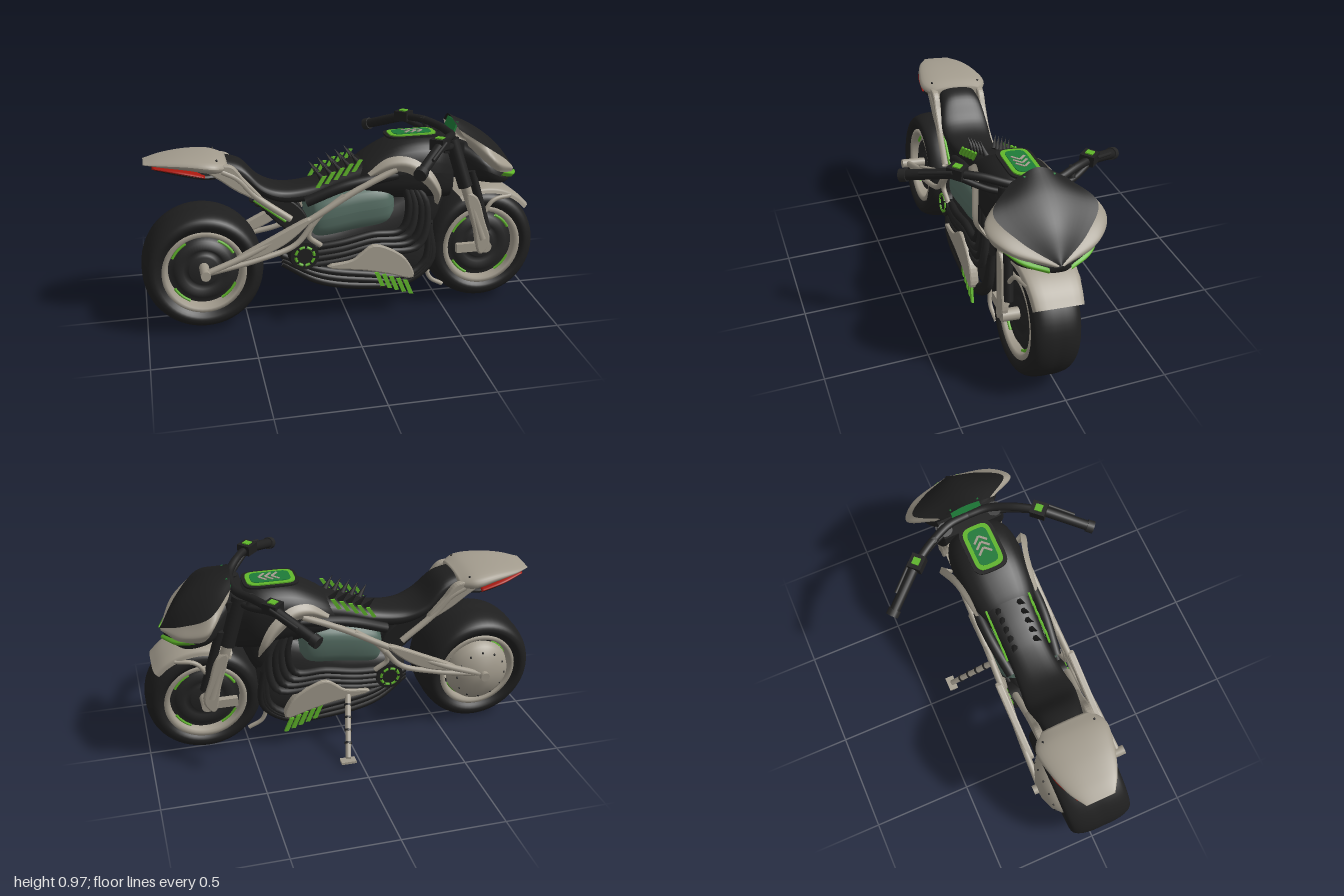
import * as THREE from 'three';

const paint = (name, color) =>
  Object.assign(new THREE.MeshStandardMaterial({ color, side: THREE.DoubleSide }), { name });
const black = paint('black', 0x1f1f1f), dark = paint('charcoal', 0x252525), bone = paint('bone', 0xa29b8d);
const lime = paint('lime', 0x5fb52a), green = paint('deep green', 0x1d7a38), teal = paint('grey green', 0x546c62);
const red = paint('red', 0xa8180e);
const V = (p) => new THREE.Vector3(p[0], p[1], p[2]);
const SIDES = [1, -1];

export function createModel() {
  const root = new THREE.Group();
  root.name = 'motorcycle';
  // The bike leans over on its side stand
  const bike = new THREE.Group();
  bike.name = 'leaningBike';
  bike.rotation.x = -0.085;
  bike.position.z = 0.065;
  root.add(bike);

  const add = (name, geo, mat, pos = [0, 0, 0], rot = [0, 0, 0], parent = bike) => {
    const m = new THREE.Mesh(geo, mat);
    m.name = name;
    m.position.set(...pos);
    m.rotation.set(...rot);
    parent.add(m);
    return m;
  };
  const tube = (name, pts, r, mat, n = 28) =>
    add(name, new THREE.TubeGeometry(new THREE.CatmullRomCurve3(pts.map(V)), n, r, 10), mat);
  const rod = (name, a, b, r, mat, r2 = r) => {
    const A = V(a), B = V(b), d = B.clone().sub(A);
    const m = add(name, new THREE.CylinderGeometry(r2, r, d.length(), 16), mat);
    m.position.copy(A).add(B).multiplyScalar(0.5);
    m.quaternion.setFromUnitVectors(new THREE.Vector3(0, 1, 0), d.normalize());
  };
  const box = (name, s, mat, pos, rot) => add(name, new THREE.BoxGeometry(...s), mat, pos, rot);
  const flip = (pts, s) => pts.map(([x, y, z]) => [x, y, z * s]);
  const grid = (rows) => {
    const m = rows[0].length, idx = [];
    for (let i = 0; i < rows.length - 1; i++)
      for (let j = 0; j < m - 1; j++) {
        const a = i * m + j, b = a + m;
        idx.push(a, a + 1, b, b, a + 1, b + 1);
      }
    const g = new THREE.BufferGeometry().setFromPoints(rows.flat());
    g.setIndex(idx);
    g.computeVertexNormals();
    return g;
  };
  // Body along x through sections [x, bottom, top, half width]
  const loft = (name, secs, mat, e = 2.6) => {
    const A = new THREE.CatmullRomCurve3(secs.map((s) => new THREE.Vector3(s[0], s[1], s[2])));
    const B = new THREE.CatmullRomCurve3(secs.map((s) => new THREE.Vector3(s[0], s[3], 0)));
    const rows = [], n = secs.length * 6, pw = (v) => Math.sign(v) * Math.abs(v) ** (2 / e);
    for (let i = -1; i <= n + 1; i++) {
      const t = Math.min(1, Math.max(0, i / n)), k = i < 0 || i > n ? 0 : 1;
      const p = A.getPoint(t), w = B.getPoint(t).y * k, h = ((p.z - p.y) / 2) * k, c = (p.y + p.z) / 2;
      rows.push(Array.from({ length: 33 }, (_, j) => {
        const a = (j / 32) * Math.PI * 2;
        return new THREE.Vector3(p.x, c + h * pw(Math.sin(a)), w * pw(Math.cos(a)));
      }));
    }
    add(name, grid(rows), mat);
  };
  // Smooth skin through a list of guide curves
  const skin = (name, guides, mat) => {
    const cs = guides.map((g) => new THREE.CatmullRomCurve3(g.map(V)));
    const rows = Array.from({ length: 25 }, (_, i) =>
      new THREE.CatmullRomCurve3(cs.map((c) => c.getPoint(i / 24))).getPoints(16));
    add(name, grid(rows), mat);
  };
  // Side plate cut from an outline
  const plate = (name, pts, z, depth, mat, smooth = true) => {
    const line = smooth ? new THREE.CatmullRomCurve3(pts.map((p) => V([...p, 0])), true).getPoints(40) : pts.map((p) => V([...p, 0]));
    const sh = new THREE.Shape(line.map((p) => new THREE.Vector2(p.x, p.y)));
    const b = depth > 0.015 ? 0.008 : 0;
    add(name, new THREE.ExtrudeGeometry(sh, { depth, bevelEnabled: b > 0, bevelSize: b, bevelThickness: b, bevelSegments: 2 }), mat, [0, 0, z - depth / 2]);
  };

  // Wheels
  const wheel = (name, x, r, w, domed) => {
    const g = new THREE.Group();
    g.name = name;
    g.position.set(x, 0.304, 0);
    bike.add(g);
    const turn = (n, pts, mat) => add(n, new THREE.LatheGeometry(
      pts.map((p) => new THREE.Vector2(...p)), 56), mat, [0, 0, 0], [Math.PI / 2, 0, 0], g);
    const prof = [[0.2, -w * 0.8], [r - 0.06, -w * 0.98], [r - 0.03, -w * 0.93], [r - 0.01, -w * 0.72], [r, -w * 0.35], [r, 0]];
    const full = [...prof, ...prof.slice(0, -1).reverse().map(([a, b]) => [a, -b])];
    turn('tyre', new THREE.CatmullRomCurve3(full.map((p) => V([...p, 0]))).getPoints(40).map((p) => [p.x, p.y]), black);
    for (const s of SIDES) {
      turn('rim', [[0.172, s * w * 0.5], [0.178, s * w * 0.8], [0.186, s * w * 0.9], [0.205, s * w * 0.88], [0.205, s * w * 0.6]], bone);
      for (let i = 0; i < 4; i++)
        add('rimAccent', new THREE.TorusGeometry(0.166, 0.007, 6, 12, 0.6), lime, [0, 0, s * w * 0.68], [0, 0, i * 1.57 + 0.5], g);
      if (domed && s < 0) {
        turn('hubDome', [[0.168, -w * 0.75], [0.155, -w * 1], [0.115, -w * 1.22], [0.05, -w * 1.37], [0, -w * 1.4]], bone);
        for (let i = 0; i < 12; i++)
          add('domeBolt', new THREE.SphereGeometry(0.006, 6, 5), dark, [0.13 * Math.cos(i * 0.5236), 0.13 * Math.sin(i * 0.5236), -w * 1.14], [0, 0, 0], g);
      } else turn('wheelDisc', [[0, 0.74], [0.07, 0.74], [0.075, 0.62], [0.1, 0.62], [0.105, 0.7], [0.14, 0.7], [0.145, 0.55], [0.175, 0.52]].map(([a, b]) => [a, s * w * b]), dark);
    }
  };
  wheel('rearWheel', -0.71, 0.296, 0.165, true);
  wheel('frontWheel', 0.71, 0.287, 0.118, false);
  rod('rearAxle', [-0.71, 0.325, -0.25], [-0.71, 0.325, 0.25], 0.024, bone);
  rod('frontAxle', [0.71, 0.315, -0.17], [0.71, 0.315, 0.17], 0.03, bone);

  // Main bodies
  loft('tank', [[0.03, 0.6, 0.74, 0.11], [0.12, 0.6, 0.81, 0.15], [0.28, 0.58, 0.885, 0.175], [0.45, 0.56, 0.89, 0.165], [0.55, 0.56, 0.83, 0.11]], black);
  loft('seat', [[-0.6, 0.78, 0.85, 0.09], [-0.5, 0.71, 0.82, 0.11], [-0.4, 0.64, 0.72, 0.125], [-0.3, 0.6, 0.685, 0.115], [-0.14, 0.6, 0.7, 0.105], [0.0, 0.62, 0.76, 0.115], [0.12, 0.64, 0.8, 0.13]], black);
  loft('engineBlock', [[-0.33, 0.31, 0.38, 0.06], [-0.22, 0.23, 0.46, 0.125], [0, 0.17, 0.5, 0.13], [0.25, 0.15, 0.6, 0.135], [0.4, 0.17, 0.66, 0.13], [0.45, 0.3, 0.62, 0.1]], dark, 3.2);
  loft('radiator', [[0.36, 0.4, 0.78, 0.13], [0.44, 0.42, 0.8, 0.12], [0.53, 0.6, 0.82, 0.08]], black, 4);
  loft('canister', [[-0.18, 0.45, 0.59, 0.12], [-0.15, 0.42, 0.63, 0.155], [0.04, 0.44, 0.675, 0.168], [0.2, 0.46, 0.68, 0.155], [0.24, 0.49, 0.66, 0.12]], teal, 3);
  loft('tailShell', [[-0.96, 0.838, 0.845, 0.07], [-0.88, 0.825, 0.863, 0.12], [-0.76, 0.805, 0.875, 0.16], [-0.64, 0.78, 0.868, 0.175], [-0.57, 0.78, 0.845, 0.13]], bone, 2.3);
  loft('tailLight', [[-0.92, 0.818, 0.837, 0.097], [-0.8, 0.797, 0.825, 0.15], [-0.68, 0.772, 0.795, 0.162]], red);
  loft('tailUnderside', [[-0.91, 0.81, 0.83, 0.085], [-0.8, 0.785, 0.82, 0.138], [-0.67, 0.757, 0.8, 0.15], [-0.56, 0.755, 0.8, 0.1]], black);

  // Tank badge plate with chevrons
  const pad = (name, l, w, h, mat) => {
    const c = w * 0.8, s = new THREE.Shape();
    s.moveTo(-l + c, -w).lineTo(l - c, -w).bezierCurveTo(l, -w, l, -w * 0.6, l, 0).bezierCurveTo(l, w * 0.6, l, w, l - c, w);
    s.lineTo(-l + c, w).bezierCurveTo(-l, w, -l, w * 0.6, -l, 0).bezierCurveTo(-l, -w * 0.6, -l, -w, -l + c, -w);
    add(name, new THREE.ExtrudeGeometry(s, { depth: 0.009, bevelEnabled: false }), mat, [0.36, h, 0], [-Math.PI / 2, 0, 0]);
  };
  pad('tankPadBase', 0.135, 0.088, 0.887, black);
  pad('tankPadBorder', 0.118, 0.07, 0.893, lime);
  pad('tankPad', 0.097, 0.05, 0.896, green);
  for (let i = 0; i < 3; i++)
    for (const s of SIDES) box('tankChevron', [0.045, 0.004, 0.011], bone, [0.335 + i * 0.032, 0.906, s * 0.017], [0, s * 0.8, 0]);

  // Frame, swingarm and side dress, mirrored
  for (const s of SIDES) {
    const T = (n, p, r, m) => tube(n, flip(p, s), r, m);
    const F = (n, g, m) => skin(n, g.map((c) => flip(c, s)), m);
    T('swingarmRail', [[-0.71, 0.325, 0.215], [-0.5, 0.4, 0.205], [-0.2, 0.54, 0.185], [0.04, 0.67, 0.175], [0.24, 0.76, 0.172]], 0.016, bone);
    T('lowerSwingarm', [[-0.71, 0.325, 0.215], [-0.45, 0.37, 0.2], [-0.27, 0.42, 0.18], [-0.18, 0.52, 0.18]], 0.014, bone);
    T('frameStrut', [[-0.02, 0.65, 0.175], [-0.14, 0.56, 0.175], [-0.2, 0.46, 0.17], [-0.14, 0.4, 0.16]], 0.013, bone);
    T('canisterStrap', [[-0.2, 0.615, 0.12], [0, 0.69, 0.145], [0.25, 0.725, 0.15]], 0.026, black);
    T('tailStrut', [[-0.6, 0.8, 0.13], [-0.53, 0.76, 0.13], [-0.45, 0.67, 0.13], [-0.28, 0.54, 0.14]], 0.017, bone);
    plate('tailBracket', [[-0.66, 0.81], [-0.56, 0.82], [-0.5, 0.75], [-0.42, 0.65], [-0.52, 0.7], [-0.6, 0.76]], s * 0.125, 0.02, bone);
    plate('swingarmGusset', [[-0.56, 0.375], [-0.38, 0.47], [-0.2, 0.55], [-0.3, 0.46], [-0.42, 0.4]], s * 0.195, 0.02, bone);
    // Shroud ribbon flaring out towards its front end
    F('sideShroud', [
      [[0.1, 0.745, 0.15], [0.2, 0.815, 0.155], [0.3, 0.818, 0.175], [0.4, 0.755, 0.205], [0.455, 0.65, 0.215], [0.455, 0.56, 0.16]],
      [[0.11, 0.735, 0.165], [0.2, 0.785, 0.182], [0.29, 0.785, 0.2], [0.38, 0.73, 0.228], [0.435, 0.645, 0.232], [0.45, 0.565, 0.17]],
      [[0.12, 0.72, 0.15], [0.2, 0.745, 0.165], [0.28, 0.745, 0.18], [0.355, 0.7, 0.2], [0.41, 0.64, 0.205], [0.44, 0.57, 0.155]]], bone);
    plate('bellyFin', [[-0.1, 0.29], [0.02, 0.31], [0.12, 0.375], [0.22, 0.34], [0.29, 0.28], [0.32, 0.2], [0.2, 0.23], [0.08, 0.26]], s * 0.16, 0.03, bone);
    plate('shockCover', [[-0.44, 0.66], [-0.28, 0.62], [-0.2, 0.52], [-0.25, 0.46], [-0.33, 0.51]], s * 0.08, 0.02, black);
    // Exhaust and coolant pipes
    for (let i = 0; i < 4; i++) {
      const d = i * 0.03;
      T('exhaustPipe', [[0.28 + d * 0.7, 0.7 - d * 0.4, 0.14], [0.31 + d, 0.56, 0.15], [0.27 + d, 0.44 - d, 0.15], [0.12, 0.43 - d, 0.15], [-0.04, 0.4 - d, 0.15], [-0.2, 0.38 - d, 0.13]], 0.019, i % 2 ? dark : black);
    }
    for (let i = 0; i < 3; i++)
      T('bellyPipe', [[-0.32, 0.34 - i * 0.02, 0.09], [-0.15, 0.27 - i * 0.03, 0.14], [0.1, 0.22 - i * 0.03, 0.145], [0.3, 0.19 - i * 0.015, 0.135], [0.4 + i * 0.015, 0.26, 0.13], [0.42, 0.45, 0.12]], 0.02, black);
    // Lime fins and spikes
    for (let i = 0; i < 5; i++) {
      const x = 0.13 + i * 0.037, y = 0.23 - i * 0.014, u = -0.15 + i * 0.045, v = 0.68 + i * 0.017;
      plate('bellySlash', [[x, y], [x + 0.022, y], [x + 0.052, y - 0.075], [x + 0.03, y - 0.075]], s * 0.16, 0.012, lime, false);
      plate('seatSlash', [[u, v], [u + 0.02, v], [u + 0.056, v + 0.056], [u + 0.036, v + 0.056]], s * 0.112, 0.01, lime, false);
      add('seatSpike', new THREE.ConeGeometry(0.016, 0.075, 6), black, [u + 0.02, v + 0.06, s * 0.065], [s * 0.3, 0, 0.6]);
    }
    // Clutch cover with dashed ring
    add('clutchCover', new THREE.CylinderGeometry(0.07, 0.08, 0.06, 32), black, [-0.22, 0.35, s * 0.13], [s * Math.PI / 2, 0, 0]);
    for (let i = 0; i < 8; i++)
      add('clutchRing', new THREE.TorusGeometry(0.046, 0.007, 6, 6, 0.55), lime, [-0.22, 0.35, s * 0.162], [0, 0, i * 0.7854]);

    // Fork
    rod('upperFork', [0.53, 0.88, s * 0.13], [0.6, 0.64, s * 0.15], 0.036, black);
    rod('forkLeg', [0.58, 0.7, s * 0.15], [0.69, 0.36, s * 0.155], 0.024, bone, 0.028);
    rod('forkTube', [0.63, 0.72, s * 0.145], [0.72, 0.4, s * 0.145], 0.022, black);
    plate('forkGuard', [[0.61, 0.6], [0.65, 0.58], [0.69, 0.46], [0.72, 0.34], [0.68, 0.29], [0.65, 0.42]], s * 0.16, 0.02, bone);
    box('brakeCaliper', [0.14, 0.045, 0.03], bone, [0.63, 0.315, s * 0.145]);
    T('fenderStay', [[0.68, 0.45, 0.15], [0.75, 0.55, 0.14], [0.85, 0.565, 0.12]], 0.011, bone);
    T('rearGuard', [[0.43, 0.42, 0.12], [0.405, 0.3, 0.11], [0.43, 0.16, 0.11], [0.5, 0.11, 0.1]], 0.011, bone);

    // Handlebar, grip and levers
    T('handlebar', [[0.55, 0.89, 0], [0.54, 0.895, 0.1], [0.48, 0.91, 0.22], [0.41, 0.905, 0.33]], 0.02, black);
    T('lowerBar', [[0.55, 0.85, 0.08], [0.5, 0.86, 0.2], [0.42, 0.89, 0.32]], 0.015, black);
    rod('grip', [0.41, 0.905, s * 0.33], [0.255, 0.83, s * 0.525], 0.025, black);
    rod('gripEnd', [0.27, 0.837, s * 0.506], [0.25, 0.827, s * 0.532], 0.031, dark);
    rod('lever', [0.43, 0.92, s * 0.35], [0.33, 0.875, s * 0.47], 0.008, dark);
    box('switchBox', [0.075, 0.05, 0.07], black, [0.41, 0.912, s * 0.32], [0, s * 0.8, 0]);
    box('switchButton', [0.036, 0.006, 0.036], lime, [0.41, 0.94, s * 0.32], [0, s * 0.8, 0]);

    // Nose side panels and headlight strips
    F('nosePanel', [
      [[0.57, 0.925, 0.13], [0.685, 0.85, 0.245], [0.8, 0.77, 0.155], [0.895, 0.69, 0.005]],
      [[0.59, 0.885, 0.16], [0.7, 0.795, 0.285], [0.81, 0.743, 0.215], [0.895, 0.685, 0.015]],
      [[0.61, 0.845, 0.15], [0.715, 0.745, 0.265], [0.82, 0.712, 0.19], [0.88, 0.677, 0.03]]], bone);
    F('headlightStrip', [
      [[0.75, 0.738, 0.238], [0.83, 0.706, 0.16], [0.89, 0.682, 0.05]],
      [[0.765, 0.723, 0.235], [0.845, 0.69, 0.16], [0.9, 0.668, 0.05]],
      [[0.755, 0.705, 0.222], [0.835, 0.672, 0.15], [0.89, 0.654, 0.05]]], lime);
  }

  // Nose cowl
  skin('noseCowl', [
    [[0.57, 0.925, 0.13], [0.685, 0.85, 0.245], [0.8, 0.77, 0.155], [0.895, 0.69, 0.005]],
    [[0.555, 0.98, 0], [0.68, 0.915, 0], [0.8, 0.82, 0], [0.9, 0.69, 0]],
    [[0.57, 0.925, -0.13], [0.685, 0.85, -0.245], [0.8, 0.77, -0.155], [0.895, 0.69, -0.005]]], black);
  loft('noseUnderside', [[0.58, 0.66, 0.86, 0.1], [0.7, 0.64, 0.8, 0.2], [0.8, 0.63, 0.72, 0.17], [0.88, 0.645, 0.685, 0.05]], black);
  box('dashScreen', [0.009, 0.08, 0.15], green, [0.565, 0.915, 0], [0, 0, -0.35]);
  box('tripleClamp', [0.1, 0.05, 0.3], black, [0.54, 0.84, 0]);
  rod('mirrorStem', [0.5, 0.87, -0.2], [0.48, 0.925, -0.2], 0.014, dark);

  // Front fender: an arched band over the tyre
  const arc = (z, r) => Array.from({ length: 7 }, (_, i) => {
    const a = 0.7 + i * 0.22;
    return [0.71 + r * Math.cos(a), 0.305 + r * Math.sin(a), z * (0.8 + 0.035 * i)];
  });
  skin('frontFender', [arc(0.15, 0.285), arc(0.138, 0.31), arc(0, 0.32), arc(-0.138, 0.31), arc(-0.15, 0.285)], bone);

  // Rear shock with coil spring
  const coil = Array.from({ length: 60 }, (_, i) => {
    const t = i / 59, a = t * 38;
    return [-0.28 - 0.16 * t + 0.03 * Math.cos(a), 0.5 + 0.14 * t + 0.02 * Math.cos(a), 0.04 * Math.sin(a)];
  });
  tube('shockSpring', coil, 0.008, dark, 200);
  for (const s of SIDES) {
    rod('shockAccent', [-0.3, 0.52, s * 0.105], [-0.45, 0.64, s * 0.105], 0.008, lime);
    for (let i = 0; i < 5; i++)
      add('tailBolt', new THREE.SphereGeometry(0.006, 6, 5), dark, [-0.86 + i * 0.06, 0.854, s * (0.08 + i * 0.012)]);
  }

  // Side stand
  rod('standLeg', [0.0, 0.29, -0.16], [0.06, 0.065, -0.41], 0.016, bone, 0.014);
  for (let i = 1; i < 5; i++) {
    const p = (t) => [0.06 * t, 0.29 - 0.225 * t, -0.16 - 0.25 * t];
    rod('standRing', p(i * 0.19), p(i * 0.19 + 0.03), 0.019, dark);
  }
  box('standFoot', [0.075, 0.012, 0.045], bone, [0.062, 0.053, -0.415], [0.085, 0, 0]);
  return root;
}
